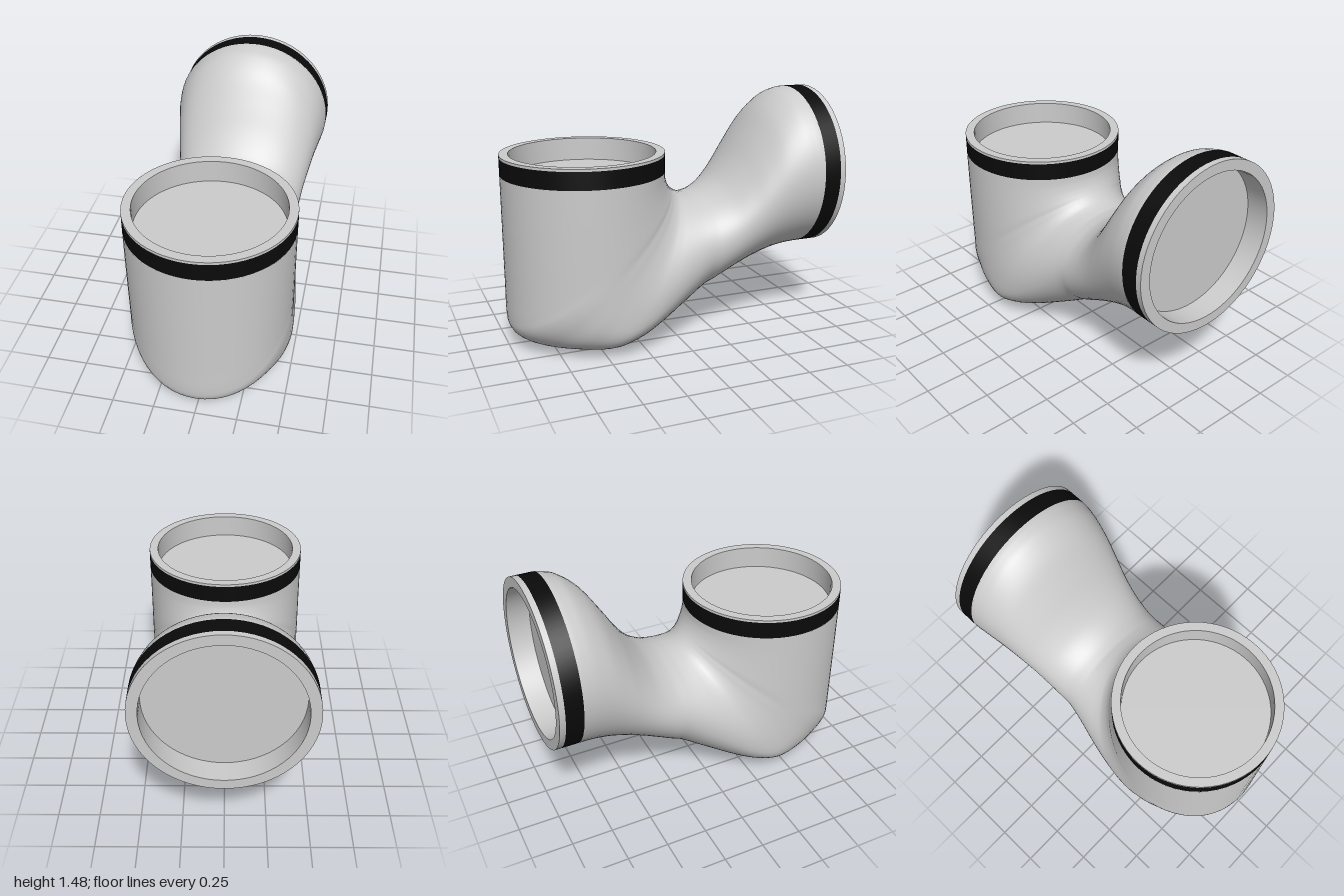
import * as THREE from 'three';
import { toCreasedNormals } from 'three/addons/utils/BufferGeometryUtils.js';

const grey = new THREE.MeshStandardMaterial({ color: 0xcccccc });
const black = new THREE.MeshStandardMaterial({ color: 0x0a0a0a });
const SIDES = 64, STEPS = 5;

// Bend: sections fan around a pivot at the inner corner.
const PIVOT = { z: -0.17, y: 1.04, r: 0.19 };
// [outer z, outer y, half width, position of widest point, squareness of outer half]
const bend = [
  [0.998, 1.04, 0.49, 0.5, 2], [0.998, 0.8, 0.49, 0.5, 2],
  [0.998, 0.55, 0.49, 0.5, 2], [0.998, 0.34, 0.49, 0.5, 2],
  [0.998, 0.19, 0.49, 0.5, 2], [0.985, 0.12, 0.49, 0.51, 2.05],
  [0.94, 0.07, 0.49, 0.54, 2.1], [0.85, 0.03, 0.49, 0.58, 2.25],
  [0.7, 0.008, 0.49, 0.66, 2.6], [0.5, 0.003, 0.488, 0.74, 3],
  [0.35, 0.015, 0.475, 0.7, 2.8], [0.2, 0.055, 0.452, 0.62, 2.5],
  [0, 0.15, 0.42, 0.54, 2.2], [-0.17, 0.245, 0.4, 0.5, 2],
];
// Outlet: upright sections. [z, top y, bottom y, half width]
const outlet = [
  [-0.25, 0.868, 0.285, 0.4], [-0.35, 0.93, 0.337, 0.408],
  [-0.45, 1.05, 0.38, 0.422], [-0.55, 1.21, 0.415, 0.444],
  [-0.65, 1.36, 0.443, 0.468], [-0.75, 1.45, 0.462, 0.49],
  [-0.82, 1.478, 0.469, 0.502], [-0.86, 1.485, 0.47, 0.507],
];

// Every section becomes [inner z, inner y, outer z, outer y, half width, widest, squareness]
function sections() {
  const fan = bend.map(([z, y, ...rest]) => {
    const a = Math.atan2(PIVOT.y - y, z - PIVOT.z);
    return [PIVOT.z + PIVOT.r * Math.cos(a), PIVOT.y - PIVOT.r * Math.sin(a), z, y, ...rest];
  });
  return fan.concat(outlet.map(([z, top, bottom, w]) => [z, top, z, bottom, w, 0.5, 2]));
}

function smooth(p0, p1, p2, p3, t) {
  const m1 = (p2 - p0) / 2, m2 = (p3 - p1) / 2;
  return p1 + t * (m1 + t * (3 * (p2 - p1) - 2 * m1 - m2 + t * (2 * (p1 - p2) + m1 + m2)));
}

function bodyGeometry() {
  const rows = sections(), last = rows.length - 1;
  const total = last * STEPS, pos = [], index = [];
  const power = (v, n) => Math.sign(v) * Math.abs(v) ** (2 / n);
  for (let j = 0; j <= total; j++) {
    const k = Math.min(Math.floor(j / STEPS), last - 1), t = j / STEPS - k;
    const row = (i) => rows[Math.max(0, Math.min(last, i))];
    const [iz, iy, oz, oy, w, f, n] = rows[0].map((_, c) =>
      smooth(row(k - 1)[c], row(k)[c], row(k + 1)[c], row(k + 2)[c], t));
    for (let i = 0; i < SIDES; i++) {
      const a = (i / SIDES) * Math.PI * 2, s = Math.sin(a);
      const e = s > 0 ? n : 2;
      const along = f + power(s, e) * (s > 0 ? 1 - f : f);
      pos.push(w * power(Math.cos(a), e), iy + (oy - iy) * along, iz + (oz - iz) * along);
      if (j < total) {
        const p = j * SIDES + i, q = j * SIDES + (i + 1) % SIDES;
        index.push(p, q, p + SIDES, q, q + SIDES, p + SIDES);
      }
    }
  }
  const g = new THREE.BufferGeometry();
  g.setAttribute('position', new THREE.Float32BufferAttribute(pos, 3));
  g.setIndex(index);
  g.computeVertexNormals();
  return g;
}

function lathe(points, material, name) {
  const g = new THREE.LatheGeometry(points.map(([r, y]) => new THREE.Vector2(r, y)), SIDES);
  const mesh = new THREE.Mesh(toCreasedNormals(g, 0.6), material);
  mesh.name = name;
  return mesh;
}

// Open socket end: black seal band, grey rim and recessed floor
function socketEnd(name, radius, inner, height, depth) {
  const group = new THREE.Group();
  group.name = name;
  group.add(
    lathe([[radius, 0], [radius, 0.105]], black, 'sealBand'),
    lathe([[radius, 0.105], [radius, height], [inner, height],
      [inner, height - depth], [0, height - depth]], grey, 'rimAndRecess'),
  );
  return group;
}

export function createModel() {
  const model = new THREE.Group();
  model.name = 'pipeElbow';

  const body = new THREE.Mesh(bodyGeometry(), grey);
  body.name = 'elbowBody';

  const topEnd = socketEnd('topSocket', 0.49, 0.436, 0.12, 0.14);
  topEnd.position.set(0, 1.04, 0.508);

  const backEnd = socketEnd('backSocket', 0.507, 0.445, 0.14, 0.14);
  backEnd.position.set(0, 0.978, -0.86);
  backEnd.rotation.x = -Math.PI / 2;

  model.add(body, topEnd, backEnd);
  return model;
}
